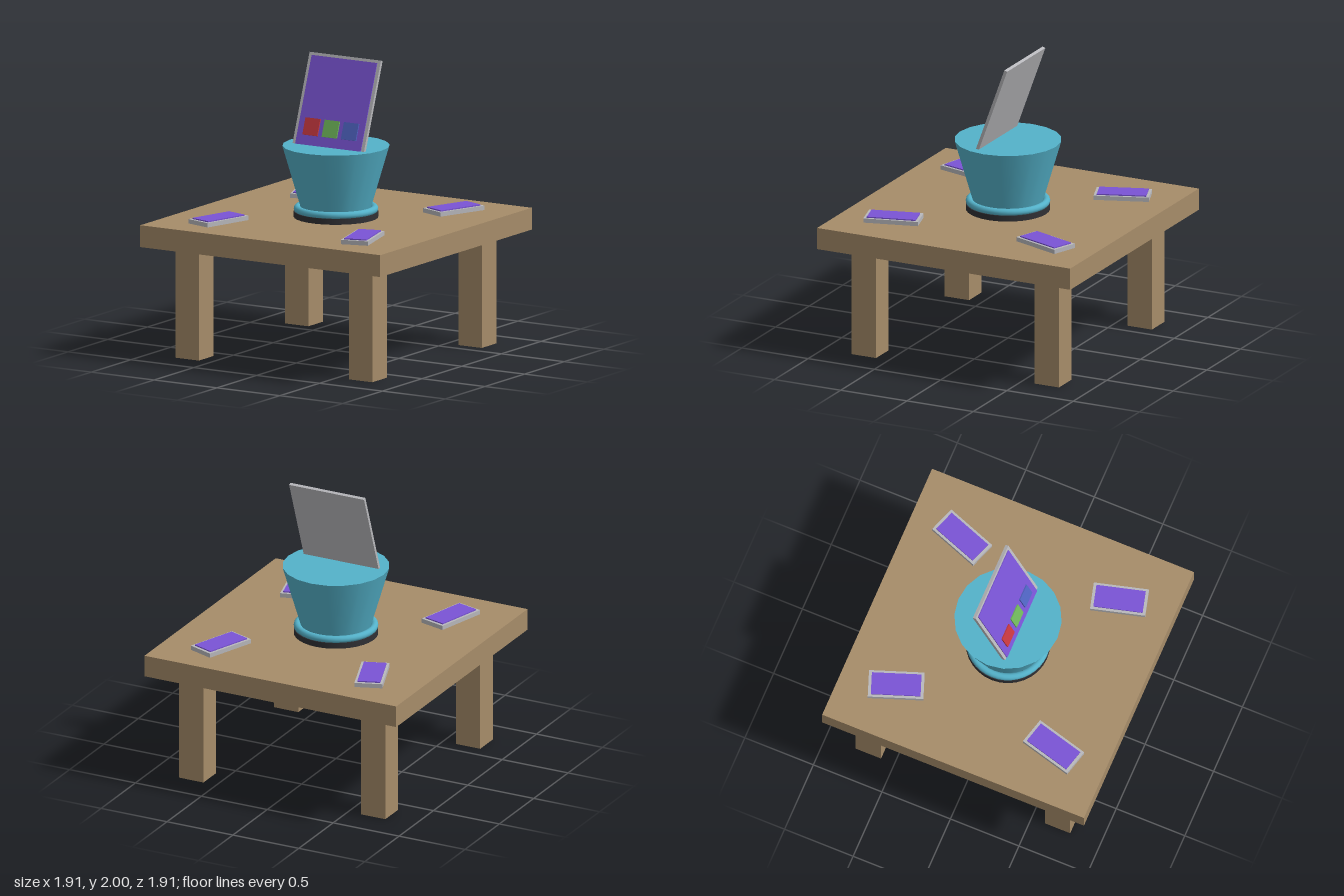
import * as THREE from 'three';

const mat = (name, color) => {
  const m = new THREE.MeshStandardMaterial({ color });
  m.name = name;
  return m;
};

export function createModel() {
  const wood = mat('wood', 0xa68c69);
  const teal = mat('teal', 0x54b2ca);
  const black = mat('black', 0x303034);
  const grey = mat('grey', 0xb8b8bc);
  const purple = mat('purple', 0x7a54d6);
  const iconMats = [mat('red', 0xc83840), mat('green', 0x70b85c), mat('blue', 0x5064c4)];

  const model = new THREE.Group();
  model.name = 'displayTable';

  const add = (parent, name, geometry, material, x, y, z) => {
    const mesh = new THREE.Mesh(geometry, material);
    mesh.name = name;
    mesh.position.set(x, y, z);
    parent.add(mesh);
    return mesh;
  };
  const box = (parent, name, [w, h, d], material, x, y, z) =>
    add(parent, name, new THREE.BoxGeometry(w, h, d), material, x, y, z);

  // Table
  box(model, 'tabletop', [1.91, 0.15, 1.91], wood, 0, 0.845, 0);
  for (const x of [-0.69, 0.69]) {
    for (const z of [-0.69, 0.69]) box(model, 'tableLeg', [0.185, 0.77, 0.185], wood, x, 0.385, z);
  }

  // Flared pedestal on a dark disc with a ring around its foot
  add(model, 'baseDisc', new THREE.CylinderGeometry(0.285, 0.285, 0.04, 32), black, 0, 0.94, 0);
  const ring = add(model, 'baseRing', new THREE.TorusGeometry(0.26, 0.025, 12, 40), teal, 0, 0.977, 0);
  ring.rotation.x = Math.PI / 2;
  add(model, 'pedestal', new THREE.CylinderGeometry(0.362, 0.229, 0.455, 20), teal, 0, 1.1825, 0);

  // Tablet leaning back, its lower end sunk in the pedestal
  const tablet = new THREE.Group();
  tablet.name = 'tablet';
  tablet.position.set(0, 1.644, 0.001);
  tablet.rotation.x = -THREE.MathUtils.degToRad(20);
  model.add(tablet);
  box(tablet, 'tabletBody', [0.568, 0.75, 0.022], grey, 0, 0, 0);
  box(tablet, 'tabletScreen', [0.52, 0.71, 0.008], purple, 0, 0, 0.013);
  iconMats.forEach((m, i) =>
    box(tablet, 'appIcon', [0.118, 0.118, 0.009], m, (i - 1) * 0.153, -0.129, 0.021));

  // Four phones lying around the pedestal: x, z, turn in degrees
  const phones = [[-0.573, -0.575, 20], [0.573, -0.575, -20], [-0.573, 0.573, -15], [0.573, 0.573, 15]];
  for (const [x, z, turn] of phones) {
    const phone = new THREE.Group();
    phone.name = 'phone';
    phone.position.set(x, 0.92, z);
    phone.rotation.y = THREE.MathUtils.degToRad(turn);
    model.add(phone);
    box(phone, 'phoneBody', [0.19, 0.03, 0.375], grey, 0, 0.015, 0);
    box(phone, 'phoneScreen', [0.155, 0.008, 0.335], purple, 0, 0.034, 0);
  }

  return model;
}
